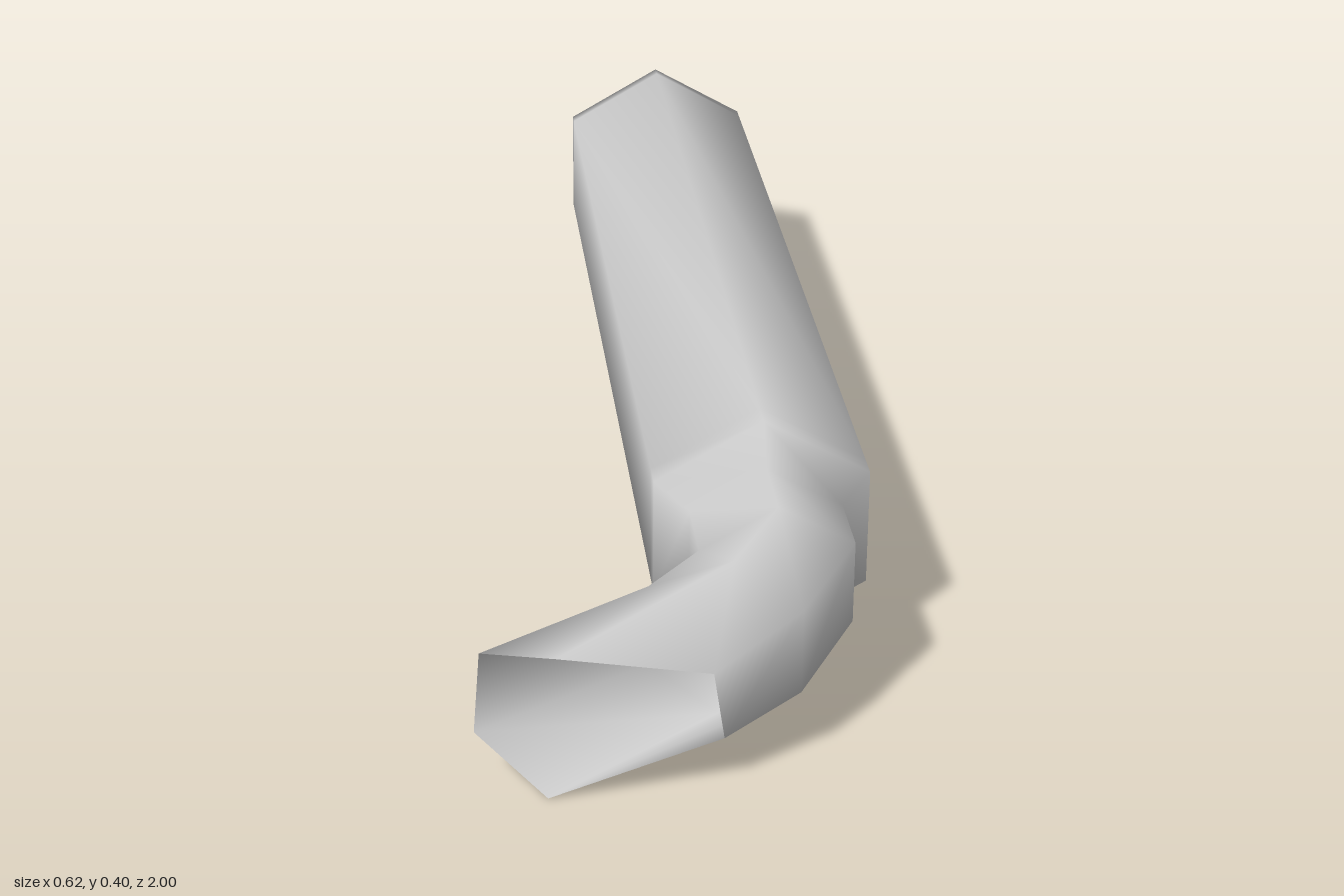
import * as THREE from 'three';

const CX = 0.145, CY = 0.2125;

// Upright six-sided ring, counter-clockwise from the top as seen from +z
function hexRing(z, rx, ry) {
  const ring = [];
  for (let k = 0; k < 6; k++) {
    const a = Math.PI / 2 + k * Math.PI / 3;
    ring.push([CX + rx * Math.cos(a), CY + ry * Math.sin(a), z]);
  }
  return ring;
}

// Skin a list of rings with shared vertices, closing the first ring
function loft(rings) {
  const pos = rings.flat(2);
  const index = [];
  for (let i = 0; i < rings.length - 1; i++) {
    for (let k = 0; k < 6; k++) {
      const a = i * 6 + k, b = i * 6 + (k + 1) % 6;
      index.push(a, b, a + 6, b, b + 6, a + 6);
    }
  }
  const centre = pos.length / 3;
  pos.push(CX, CY, rings[0][0][2]);
  for (let k = 0; k < 6; k++) index.push(centre, (k + 1) % 6, k);
  const g = new THREE.BufferGeometry();
  g.setAttribute('position', new THREE.Float32BufferAttribute(pos, 3));
  g.setIndex(index);
  g.computeVertexNormals();
  return g;
}

export function createModel() {
  const group = new THREE.Group();
  group.name = 'exhaustPipe';
  const steel = new THREE.MeshStandardMaterial({ color: 0xcccccc, side: THREE.DoubleSide });
  steel.name = 'grey steel';

  const rings = [
    // Closed back end and long wide body
    hexRing(-1, 0.191, 0.189),
    hexRing(-0.975, 0.191, 0.189),
    hexRing(0.53, 0.191, 0.189),
    hexRing(0.575, 0.191, 0.189),
    // Narrow neck
    hexRing(0.622, 0.134, 0.132),
    hexRing(0.742, 0.134, 0.132),
    // Bend towards the right
    [[0.07, 0.312, 0.835], [-0.05, 0.25, 0.79], [-0.05, 0.115, 0.785],
      [0.05, 0.05, 0.825], [0.165, 0.11, 0.875], [0.165, 0.245, 0.875]],
    // Open mouth, cut at a slant to face the front
    [[-0.2, 0.262, 1], [-0.302, 0.211, 0.89], [-0.312, 0.08, 0.89],
      [-0.21, 0, 0.95], [0.045, 0.08, 0.94], [0.025, 0.205, 0.967]],
  ];
  const pipe = new THREE.Mesh(loft(rings), steel);
  pipe.name = 'pipe';
  group.add(pipe);
  return group;
}
